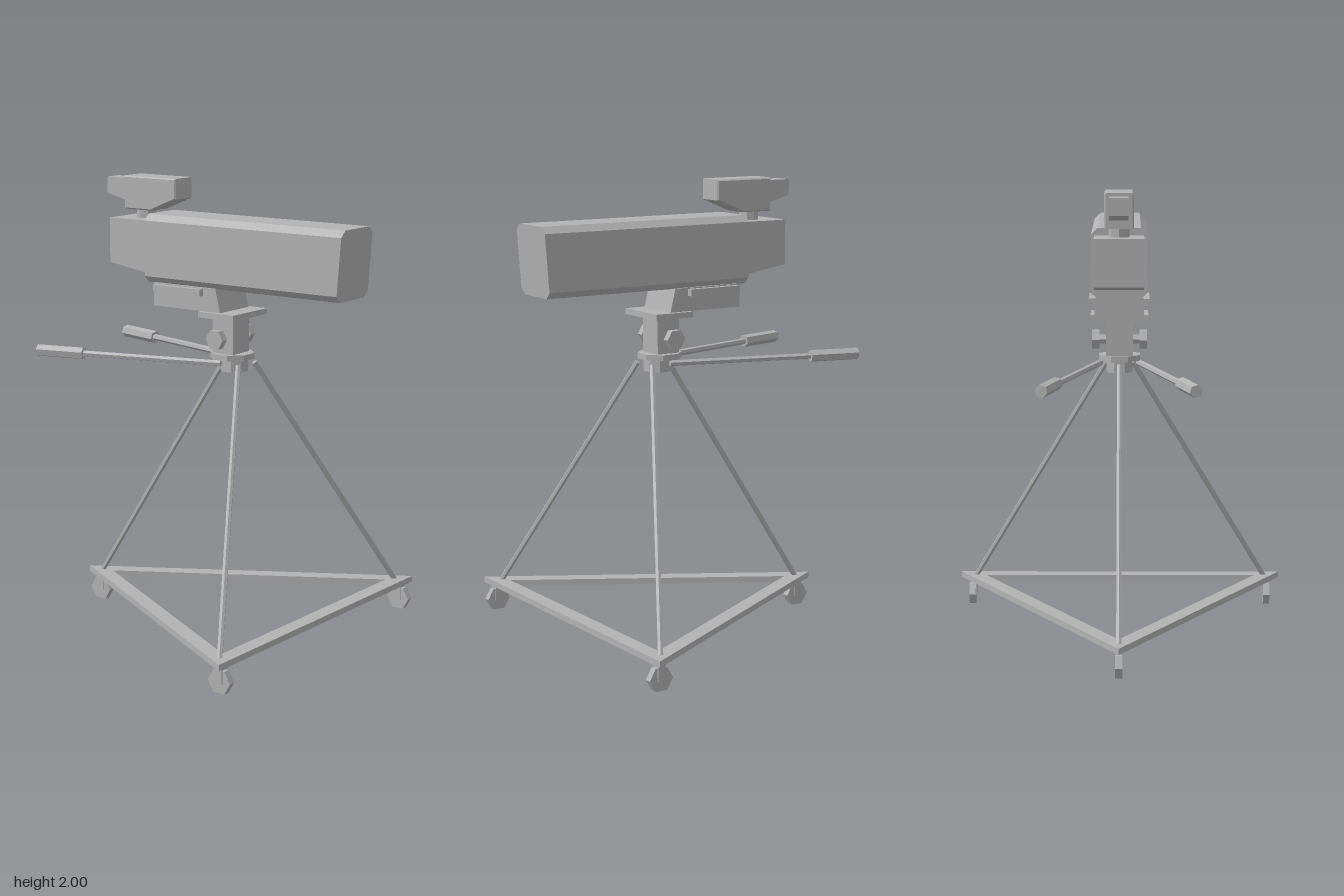
import * as THREE from 'three';

const grey = new THREE.MeshStandardMaterial({ color: 0xb2b2b2 });
grey.name = 'grey';

// Adds a faceted mesh to a group
function add(group, name, geometry, x = 0, y = 0, z = 0) {
  const flat = geometry.index ? geometry.toNonIndexed() : geometry;
  flat.computeVertexNormals();
  const mesh = new THREE.Mesh(flat, grey);
  mesh.name = name;
  mesh.position.set(x, y, z);
  group.add(mesh);
  return mesh;
}

// Box given by its limits on each axis
function box(group, name, x0, x1, y0, y1, z0, z1) {
  return add(group, name, new THREE.BoxGeometry(x1 - x0, y1 - y0, z1 - z0),
    (x0 + x1) / 2, (y0 + y1) / 2, (z0 + z1) / 2);
}

// Side profile of [z, y] points, extruded across x to a given half width
function profile(points, half, bevel = 0) {
  const shape = new THREE.Shape(points.map(([z, y]) => new THREE.Vector2(-z, y)));
  const depth = 2 * (half - bevel);
  return new THREE.ExtrudeGeometry(shape, {
    depth, bevelEnabled: bevel > 0, bevelSize: bevel, bevelThickness: bevel,
    bevelOffset: -bevel, bevelSegments: 1,
  }).translate(0, 0, -depth / 2).rotateY(Math.PI / 2);
}

// Straight rod between two points
function rod(group, name, a, b, radius, sides = 6) {
  const from = new THREE.Vector3(...a), to = new THREE.Vector3(...b);
  const dir = to.clone().sub(from);
  const mesh = add(group, name, new THREE.CylinderGeometry(radius, radius, dir.length(), sides));
  mesh.position.copy(from).add(to).multiplyScalar(0.5);
  mesh.quaternion.setFromUnitVectors(new THREE.Vector3(0, 1, 0), dir.normalize());
  return mesh;
}

// Corners of an equilateral triangle pointing to the back
function triangle(radius, centreZ) {
  return [90, 210, 330].map((deg) => {
    const a = THREE.MathUtils.degToRad(deg);
    return new THREE.Vector2(radius * Math.cos(a), radius * Math.sin(a) - centreZ);
  });
}

function makeDolly() {
  const dolly = new THREE.Group();
  dolly.name = 'dolly';

  // Triangular frame
  const shape = new THREE.Shape(triangle(0.873, 0.157));
  shape.holes.push(new THREE.Path(triangle(0.733, 0.157)));
  const frame = new THREE.ExtrudeGeometry(shape, { depth: 0.027, bevelEnabled: false });
  add(dolly, 'baseFrame', frame.rotateX(-Math.PI / 2), 0, 0.118, 0);

  // Casters with hexagonal wheels
  for (const [x, z] of [[-0.695, 0.56], [0.7, 0.56], [0, -0.64]]) {
    const caster = new THREE.Group();
    caster.name = 'caster';
    caster.position.set(x, 0, z);
    const wheel = new THREE.CylinderGeometry(0.056, 0.056, 0.03, 6).rotateZ(Math.PI / 2);
    add(caster, 'wheel', wheel, 0, 0.0525, 0);
    wheel.dispose();
    for (const s of [-1, 1]) {
      box(caster, 'forkSide', s * 0.0175 - 0.003, s * 0.0175 + 0.003, 0.045, 0.118, -0.018, 0.018);
    }
    box(caster, 'forkTop', -0.02, 0.02, 0.104, 0.12, -0.018, 0.018);
    dolly.add(caster);
  }
  return dolly;
}

function makeTripod() {
  const tripod = new THREE.Group();
  tripod.name = 'tripod';
  rod(tripod, 'leftLeg', [0.06, 1.215, 0.185], [0.685, 0.135, 0.545], 0.0125);
  rod(tripod, 'rightLeg', [-0.06, 1.215, 0.185], [-0.685, 0.135, 0.545], 0.0125);
  rod(tripod, 'rearLeg', [0, 1.215, 0.065], [0, 0.135, -0.64], 0.0125);
  add(tripod, 'hub', new THREE.CylinderGeometry(0.062, 0.062, 0.06, 8).rotateY(Math.PI / 8), 0, 1.21, 0.12);
  return tripod;
}

function makeHead() {
  const head = new THREE.Group();
  head.name = 'panHead';
  add(head, 'lowerPlate', new THREE.CylinderGeometry(0.098, 0.098, 0.025, 8).rotateY(Math.PI / 8), 0, 1.2475, 0.11);
  box(head, 'column', -0.06, 0.06, 1.255, 1.425, 0.047, 0.157);
  box(head, 'upperPlate', -0.127, 0.127, 1.42, 1.445, 0.02, 0.205);
  for (const s of [-1, 1]) {
    // Tilt knobs
    add(head, 'knobShaft', new THREE.CylinderGeometry(0.022, 0.022, 0.04, 6).rotateZ(Math.PI / 2), s * 0.075, 1.328, 0.1);
    add(head, 'knob', new THREE.CylinderGeometry(0.045, 0.045, 0.032, 6).rotateZ(Math.PI / 2), s * 0.105, 1.328, 0.1);
    // Pan handles with thicker grips
    rod(head, 'panHandle', [s * 0.085, 1.222, 0.11], [s * 0.258, 1.222, -0.53], 0.014);
    rod(head, 'handleGrip', [s * 0.258, 1.222, -0.517], [s * 0.313, 1.222, -0.735], 0.028);
  }
  return head;
}

function makeCamera() {
  const camera = new THREE.Group();
  camera.name = 'studioCamera';

  // Mounting wedge and sliding plate
  add(camera, 'wedge', profile([[0.12, 1.445], [-0.24, 1.445], [-0.24, 1.547], [0.095, 1.547]], 0.105));
  box(camera, 'slidePlate', -0.13, 0.13, 1.512, 1.542, -0.225, 0.03);

  // Long chamfered housing with a slightly sloping front
  const w = 0.12, c = 0.028, y0 = 1.545, y1 = 1.845;
  const section = new THREE.Shape([
    [-w + c, y0], [w - c, y0], [w, y0 + c], [w, y1 - c],
    [w - c, y1], [-w + c, y1], [-w, y1 - c], [-w, y0 + c],
  ].map(([x, y]) => new THREE.Vector2(x, y)));
  const housing = new THREE.ExtrudeGeometry(section, { depth: 1.02, bevelEnabled: false });
  housing.translate(0, 0, -0.277);
  const p = housing.attributes.position;
  for (let i = 0; i < p.count; i++) {
    if (p.getZ(i) > 0) p.setZ(i, 0.72 + 0.023 * (p.getY(i) - y0) / (y1 - y0));
  }
  add(camera, 'housing', housing);

  // Rear block
  add(camera, 'rearBlock', profile([[-0.27, 1.584], [-0.485, 1.617], [-0.485, 1.815], [-0.27, 1.815]], 0.105));

  // Viewfinder on its post
  add(camera, 'viewfinderPost', new THREE.CylinderGeometry(0.043, 0.043, 0.05, 8), 0, 1.835, -0.36);
  add(camera, 'viewfinder', profile([[-0.153, 1.91], [-0.29, 1.853], [-0.437, 1.853], [-0.437, 2], [-0.153, 2]], 0.062, 0.006));
  add(camera, 'eyepiece', profile([[-0.43, 1.886], [-0.55, 1.915], [-0.55, 1.987], [-0.43, 1.987]], 0.04));
  return camera;
}

export function createModel() {
  const model = new THREE.Group();
  model.name = 'cameraOnTripod';
  model.add(makeDolly(), makeTripod(), makeHead(), makeCamera());
  return model;
}
